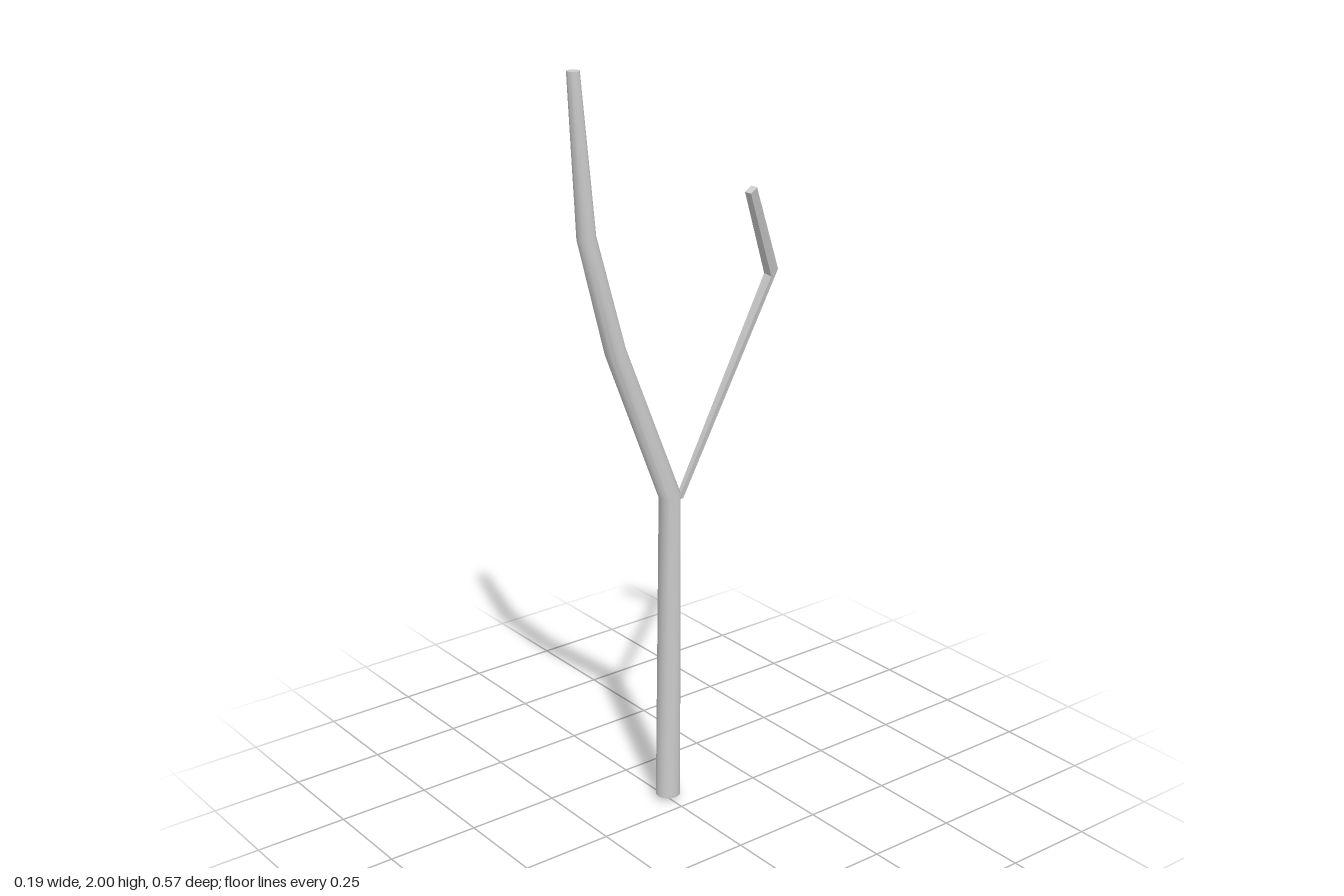
import * as THREE from 'three';
import { toCreasedNormals } from 'three/addons/utils/BufferGeometryUtils.js';

// Skin a list of equal-sized rings (counter-clockwise from above), closing both ends with fans
function loft(rings, bottomCentre, topCentre) {
  const n = rings[0].length;
  const points = [...rings.flat(), bottomCentre, topCentre];
  const bottom = points.length - 2, top = points.length - 1;
  const last = (rings.length - 1) * n;
  const index = [];
  for (let j = 0; j < n; j++) {
    const k = (j + 1) % n;
    for (let i = 0; i < last; i += n) {
      index.push(i + j, i + k, i + n + k, i + j, i + n + k, i + n + j);
    }
    index.push(bottom, k, j, top, last + j, last + k);
  }
  const geometry = new THREE.BufferGeometry().setFromPoints(points);
  geometry.setIndex(index);
  return toCreasedNormals(geometry, 0.6);
}

// Round ring in the trunk's plane, leaning towards the front
function roundRing([y, z, radius, tilt], sides = 18) {
  return Array.from({ length: sides }, (_, i) => {
    const a = (i / sides) * Math.PI * 2;
    const s = -radius * Math.sin(a);
    return new THREE.Vector3(-0.062 + radius * Math.cos(a), y - s * Math.sin(tilt), z + s * Math.cos(tilt));
  });
}

export function createModel() {
  const group = new THREE.Group();
  const material = new THREE.MeshStandardMaterial({ color: 0xcccccc });
  const add = (name, geometry) => {
    const mesh = new THREE.Mesh(geometry, material);
    mesh.name = name;
    group.add(mesh);
  };

  // Trunk: tapering and bending forward, with a shallow point underneath
  const trunk = [ // y, z, radius, tilt
    [0.014, -0.002, 0.033, 0],
    [0.88, -0.01, 0.029, 0.18],
    [1.3, 0.157, 0.027, 0.32],
    [1.6, 0.238, 0.024, 0.17],
    [2.0, 0.268, 0.016, 0],
  ].map((ring) => roundRing(ring));
  add('trunk', loft(trunk, new THREE.Vector3(-0.062, 0, -0.002), new THREE.Vector3(-0.062, 2, 0.268)));

  // Side branch: four-sided, widening to an elbow, then turning forward
  const branch = [
    [[-0.06, 0.87, -0.04], [-0.057, 0.87, -0.025], [-0.044, 0.87, -0.025], [-0.044, 0.87, -0.04]],
    [[0.005, 1.458, -0.284], [0.009, 1.443, -0.256], [0.031, 1.438, -0.261], [0.03, 1.454, -0.284]],
    [[0.076, 1.695, -0.155], [0.076, 1.682, -0.135], [0.094, 1.68, -0.139], [0.094, 1.693, -0.158]],
  ].map((ring) => ring.map((p) => new THREE.Vector3(...p)));
  const centre = (ring) => ring.reduce((sum, p) => sum.add(p), new THREE.Vector3()).divideScalar(ring.length);
  add('sideBranch', loft(branch, centre(branch[0]), centre(branch[2])));

  return group;
}
